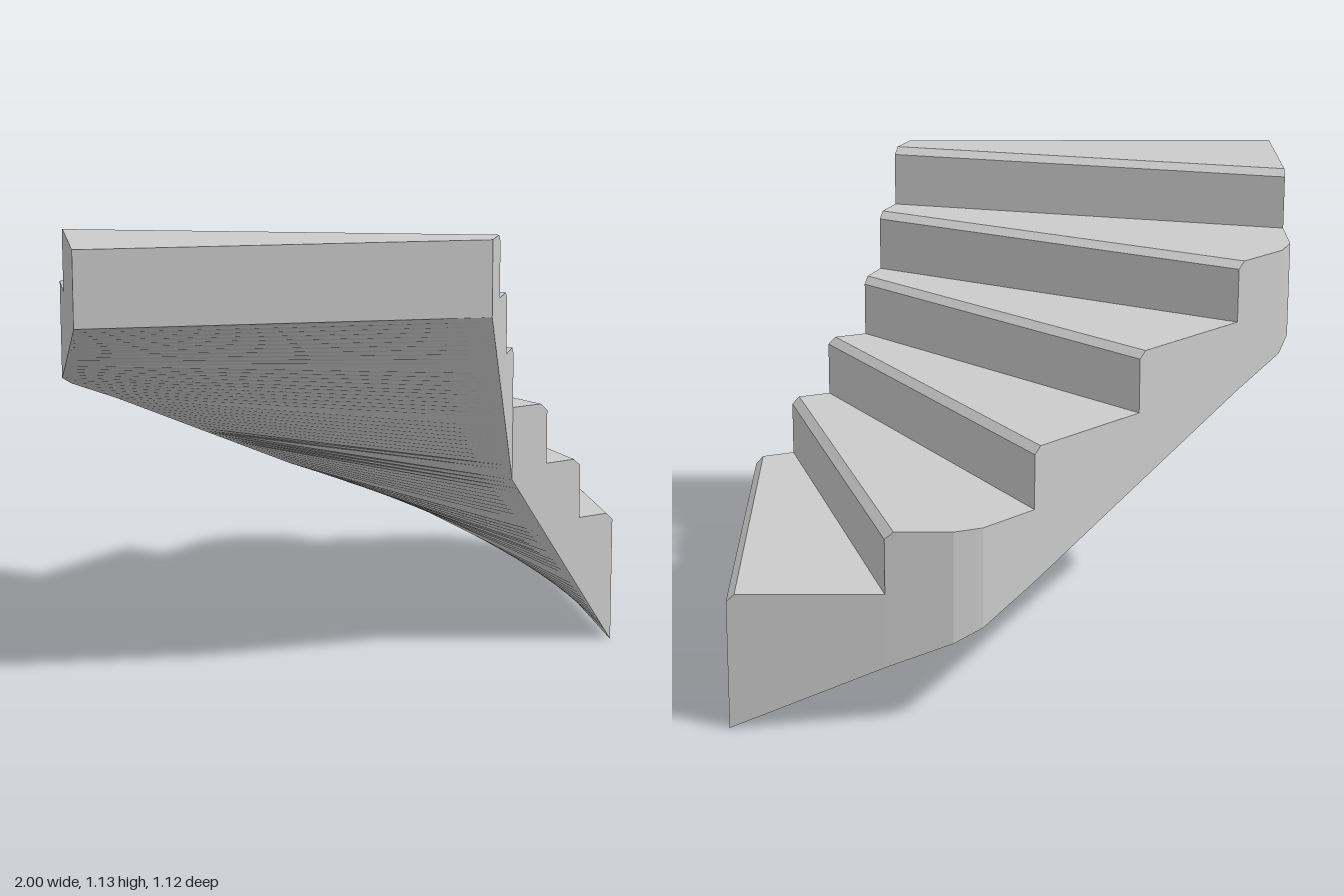
import * as THREE from 'three';

// Plan paths for one half of the flight: [stepParameter, x, z]; the other half is mirrored.
const INNER_HALF = [[0, 0.295, 0.56], [3, 0, 0.435]];
const OUTER_HALF = [[0, 1, -0.147], [1, 0.735, -0.415], [1.39, 0.62, -0.53], [1.574, 0.55, -0.56], [2, 0.375, -0.56], [3, 0, -0.56]];
const mirrorPath = (half) => [...half, ...half.slice(0, -1).reverse().map(([t, x, z]) => [6 - t, -x, z])];
const INNER = mirrorPath(INNER_HALF);
const OUTER = mirrorPath(OUTER_HALF);

const STEPS = 6, RISE = 0.1574, FIRST_TOP = 0.345;
const NOSE_HEIGHT = 0.018, NOSE_INNER = 0.187, NOSE_OUTER = 0.053;
const SLICES = 10;

// Point on a plan path at parameter t, at height y
function at(path, t, y) {
  let i = 0;
  while (i < path.length - 2 && t > path[i + 1][0]) i++;
  const [t0, x0, z0] = path[i], [t1, x1, z1] = path[i + 1];
  const f = (t - t0) / (t1 - t0);
  return [x0 + (x1 - x0) * f, y, z0 + (z1 - z0) * f];
}

// Cross-section: inner bottom, inner top, outer top, outer bottom
function section(tIn, tOut, top) {
  return [at(INNER, tIn, tIn * RISE), at(INNER, tIn, top), at(OUTER, tOut, top), at(OUTER, tOut, tOut * RISE)];
}

// One winder step with a bevelled nosing and a sloping soffit
function stepGeometry(k) {
  const top = FIRST_TOP + k * RISE;
  const us = Array.from({ length: SLICES + 1 }, (_, i) => i / SLICES);
  // extra slices where the outer wall turns a corner
  for (const [t] of OUTER) {
    const u = (t - k - NOSE_OUTER) / (1 - NOSE_OUTER);
    if (u > 0.001 && u < 0.999) us.push(u);
  }
  us.sort((a, b) => a - b);

  const sections = [section(k, k, top - NOSE_HEIGHT)];
  for (const u of us) {
    sections.push(section(k + NOSE_INNER + u * (1 - NOSE_INNER), k + NOSE_OUTER + u * (1 - NOSE_OUTER), top));
  }

  const verts = [];
  const quad = (a, b, c, d) => verts.push(...a, ...b, ...c, ...a, ...c, ...d);
  for (let s = 0; s < sections.length - 1; s++) {
    const p = sections[s], q = sections[s + 1];
    for (let e = 0; e < 4; e++) {
      const n = (e + 1) % 4;
      quad(p[e], p[n], q[n], q[e]);
    }
  }

  // riser, starting at the tread below
  const [ib, it, ot, ob] = sections[0];
  const foot = k === 0 ? 0 : top - RISE;
  quad([ib[0], foot, ib[2]], [ob[0], foot, ob[2]], ot, it);

  // end face of the flight
  if (k === STEPS - 1) quad(...sections[sections.length - 1]);

  const geometry = new THREE.BufferGeometry();
  geometry.setAttribute('position', new THREE.Float32BufferAttribute(verts, 3));
  geometry.computeVertexNormals();
  return geometry;
}

export function createModel() {
  const staircase = new THREE.Group();
  staircase.name = 'winderStaircase';
  const material = new THREE.MeshStandardMaterial({ color: 0xcccccc, flatShading: true });
  for (let k = 0; k < STEPS; k++) {
    const step = new THREE.Mesh(stepGeometry(k), material);
    step.name = `step${k + 1}`;
    staircase.add(step);
  }
  return staircase;
}
